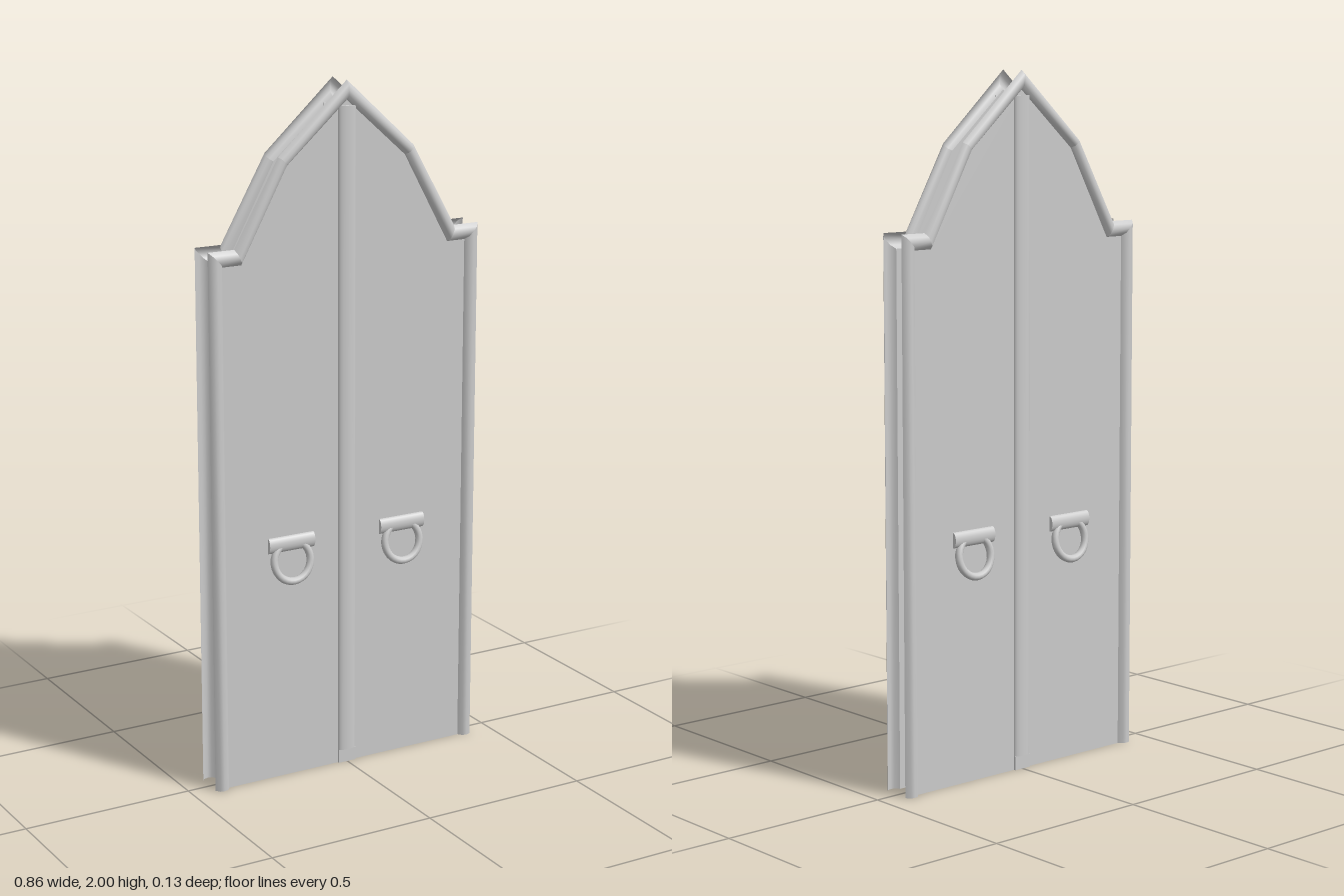
import * as THREE from 'three';

const grey = new THREE.MeshStandardMaterial({ color: 0xcccccc, side: THREE.DoubleSide });
const PANEL_Z = 0.0385;
const TRIM_HEIGHT = 0.0155;

// Right half of each outline, from the floor to the apex
const outerHalf = [[0.432, 0], [0.432, 1.565], [0.352, 1.565], [0.215, 1.805], [0, 2]];
const innerHalf = [[0.388, 0], [0.388, 1.52], [0.33, 1.52], [0.187, 1.78], [0, 1.945]];

const mirrorOutline = (half) => [...half, ...half.slice(0, -1).reverse().map(([x, y]) => [-x, y])];

function addMesh(parent, name, geometry) {
  const mesh = new THREE.Mesh(geometry, grey);
  mesh.name = name;
  parent.add(mesh);
  return mesh;
}

// Rounded moulding lofted between the two outlines, one mitred strip per straight run
function trimGeometry(outer, inner) {
  const profile = [[0, 0], [0.22, 0.85], [0.5, 1], [0.78, 0.85], [1, 0]];
  const positions = [];
  const index = [];
  for (let s = 0; s < outer.length - 1; s++) {
    const base = positions.length / 3;
    for (const [t, h] of profile) {
      for (const k of [s, s + 1]) {
        positions.push(
          THREE.MathUtils.lerp(outer[k][0], inner[k][0], t),
          THREE.MathUtils.lerp(outer[k][1], inner[k][1], t),
          PANEL_Z + h * TRIM_HEIGHT
        );
      }
    }
    for (let i = 0; i < profile.length - 1; i++) {
      const a = base + i * 2;
      index.push(a, a + 1, a + 3, a, a + 3, a + 2);
    }
  }
  const geometry = new THREE.BufferGeometry();
  geometry.setAttribute('position', new THREE.Float32BufferAttribute(positions, 3));
  geometry.setIndex(index);
  geometry.computeVertexNormals();
  return geometry;
}

// Half-round bar, flat side against the door, standing along y
function halfRound(halfWidth, length, height) {
  const geometry = new THREE.CylinderGeometry(1, 1, length, 10, 1, false, -Math.PI / 2, Math.PI);
  return geometry.scale(halfWidth, 1, height);
}

// Hanging ring held by a short horizontal bracket
function createHandle(x) {
  const handle = new THREE.Group();
  handle.name = 'handle';
  handle.position.set(x, 0, 0);
  const bracket = addMesh(handle, 'handleBracket', halfRound(0.023, 0.146, 0.014));
  bracket.rotation.z = Math.PI / 2;
  bracket.position.set(0, 0.705, 0.037);
  const ring = addMesh(handle, 'handleRing', new THREE.TorusGeometry(0.058, 0.011, 10, 28));
  ring.rotation.x = -0.16;
  ring.position.set(0, 0.653, 0.047);
  return handle;
}

function createDoorFace(name) {
  const face = new THREE.Group();
  face.name = name;
  const outer = mirrorOutline(outerHalf);
  const inner = mirrorOutline(innerHalf);

  // Flat panel inside the moulding
  const shape = new THREE.Shape(inner.map(([x, y]) => new THREE.Vector2(x, y)));
  addMesh(face, 'panel', new THREE.ShapeGeometry(shape)).position.z = PANEL_Z;
  addMesh(face, 'archTrim', trimGeometry(outer, inner));

  // Strip covering the joint of the two leaves, with a small foot
  const strip = addMesh(face, 'centreStrip', halfRound(0.028, 1.89, 0.012));
  strip.position.set(0, 0.04 + 1.89 / 2, PANEL_Z);
  const foot = addMesh(face, 'stripFoot', new THREE.BoxGeometry(0.056, 0.04, 0.006));
  foot.position.set(0, 0.02, PANEL_Z + 0.003);

  for (const side of [-1, 1]) face.add(createHandle(side * 0.182));
  return face;
}

export function createModel() {
  const door = new THREE.Group();
  door.name = 'archedDoubleDoor';
  const front = createDoorFace('frontFace');
  const back = createDoorFace('backFace');
  back.rotation.y = Math.PI;
  door.add(front, back);
  return door;
}
